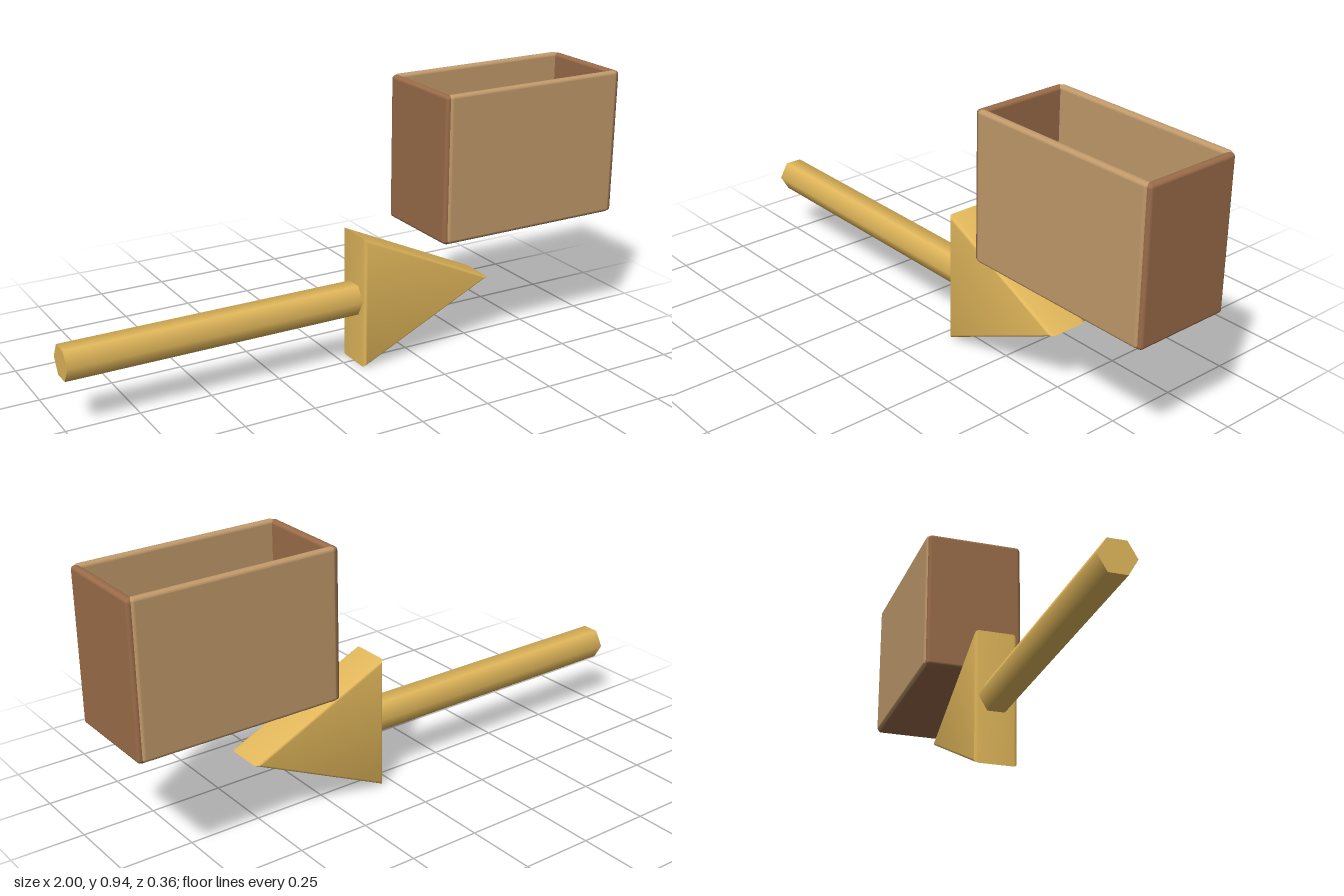
import * as THREE from 'three';
import { RoundedBoxGeometry } from 'three/addons/geometries/RoundedBoxGeometry.js';
import { toCreasedNormals } from 'three/addons/utils/BufferGeometryUtils.js';

export function createModel() {
  const model = new THREE.Group();
  model.name = 'arrowAndBox';

  const material = (name, color) => {
    const m = new THREE.MeshStandardMaterial({ color });
    m.name = name;
    return m;
  };
  const gold = material('goldenWood', 0xe0b65a);
  const tan = material('tanWood', 0xc19a6b);
  const brown = material('brownWood', 0x9a6c49);

  const add = (parent, name, geometry, mat, x = 0, y = 0, z = 0) => {
    const mesh = new THREE.Mesh(geometry, mat);
    mesh.name = name;
    mesh.position.set(x, y, z);
    parent.add(mesh);
    return mesh;
  };

  // Arrow: hexagonal shaft and bevelled triangular head
  const arrow = new THREE.Group();
  arrow.name = 'arrow';
  model.add(arrow);
  const shaft = new THREE.CylinderGeometry(0.06, 0.06, 1.05, 6).rotateZ(Math.PI / 2);
  add(arrow, 'arrowShaft', shaft, gold, -0.475, 0.235, 0);

  const bevel = 0.014;
  const triangle = new THREE.Shape([
    new THREE.Vector2(0.04, 0),
    new THREE.Vector2(0.545, 0.235),
    new THREE.Vector2(0.04, 0.468),
  ]);
  const head = new THREE.ExtrudeGeometry(triangle, {
    depth: 0.148 - 2 * bevel,
    bevelEnabled: true,
    bevelSize: bevel,
    bevelThickness: bevel,
    bevelOffset: -bevel,
    bevelSegments: 3,
  });
  head.translate(0, 0, -0.074 + bevel);
  add(arrow, 'arrowHead', toCreasedNormals(head, 0.7), gold);

  // Open box: floor, two end panels and two long panels
  const box = new THREE.Group();
  box.name = 'openBox';
  box.position.set(0.643, 0, 0);
  model.add(box);
  const panel = (w, h, d) => new RoundedBoxGeometry(w, h, d, 3, 0.012);
  add(box, 'boxFloor', panel(0.7, 0.03, 0.34), brown, 0, 0.445, 0);
  for (const side of [-1, 1]) {
    const label = side > 0 ? 'left' : 'right';
    add(box, label + 'EndPanel', panel(0.028, 0.51, 0.344), brown, side * 0.343, 0.688, 0);
    add(box, side > 0 ? 'frontPanel' : 'backPanel', panel(0.69, 0.51, 0.028), tan, 0, 0.69, side * 0.164);
  }

  return model;
}
